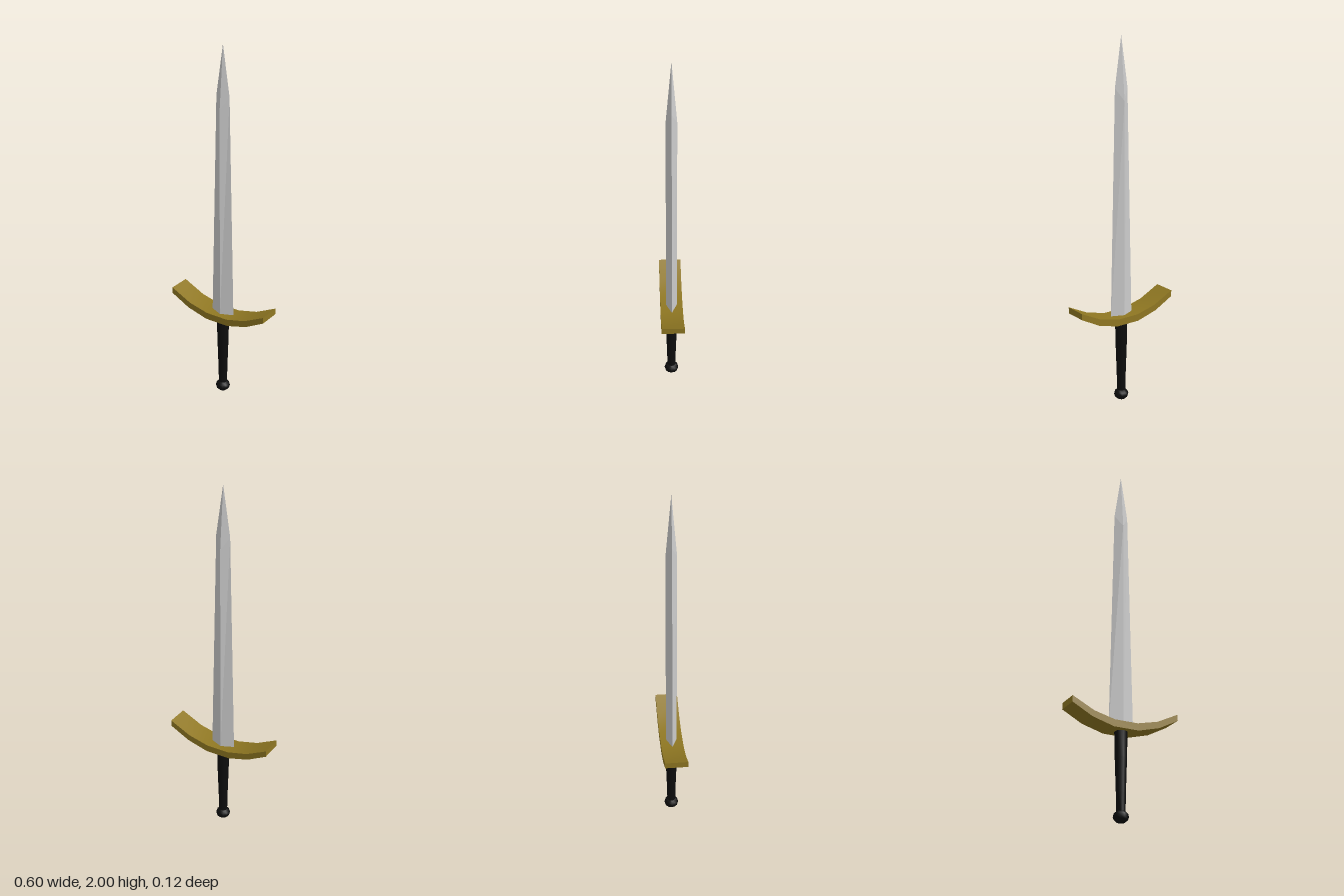
import * as THREE from 'three';
import { toCreasedNormals } from 'three/addons/utils/BufferGeometryUtils.js';

const steel = new THREE.MeshStandardMaterial({ color: 0xcccccc, flatShading: true });
const brass = new THREE.MeshStandardMaterial({ color: 0x8f7722 });
const leather = new THREE.MeshStandardMaterial({ color: 0x0d0d0d });

// Diamond-section blade; the ridges bend in slightly lower than the edges
function bladeGeometry() {
  const ring = (w, d, edgeY, ridgeY) => [[w, edgeY, 0], [0, ridgeY, d], [-w, edgeY, 0], [0, ridgeY, -d]];
  const base = ring(0.07, 0.03, 0.48, 0.48);
  const shoulder = ring(0.04, 0.029, 1.735, 1.67);
  const tip = [0, 2, 0];
  const pos = [];
  for (let i = 0; i < 4; i++) {
    const j = (i + 1) % 4;
    // corners run counter-clockwise seen from outside
    pos.push(...base[j], ...base[i], ...shoulder[i]);
    pos.push(...base[j], ...shoulder[i], ...shoulder[j]);
    pos.push(...shoulder[j], ...shoulder[i], ...tip);
    pos.push(...base[i], ...base[j], 0, 0.48, 0);
  }
  // The order above is for rings turning the other way, so swap two corners of each face
  for (let k = 0; k < pos.length; k += 9) {
    for (let c = 3; c < 6; c++) [pos[k + c], pos[k + c + 3]] = [pos[k + c + 3], pos[k + c]];
  }
  const g = new THREE.BufferGeometry();
  g.setAttribute('position', new THREE.Float32BufferAttribute(pos, 3));
  // Make every face point away from the blade's axis
  const p = g.attributes.position;
  const [a, b, c] = [new THREE.Vector3(), new THREE.Vector3(), new THREE.Vector3()];
  const inside = new THREE.Vector3(0, 1, 0);
  for (let k = 0; k < p.count; k += 3) {
    a.fromBufferAttribute(p, k);
    b.fromBufferAttribute(p, k + 1);
    c.fromBufferAttribute(p, k + 2);
    const n = b.clone().sub(a).cross(c.clone().sub(a));
    if (n.dot(a.clone().sub(inside)) < 0) {
      p.setXYZ(k + 1, c.x, c.y, c.z);
      p.setXYZ(k + 2, b.x, b.y, b.z);
    }
  }
  g.computeVertexNormals();
  return g;
}

// Upswept crossguard: a bent bar of even depth
function guardGeometry() {
  const top = [[0.065, 0.505], [0.18, 0.533], [0.3, 0.592]];
  const bottom = [[0.07, 0.467], [0.19, 0.5], [0.3, 0.558]];
  const mirror = (pts) => pts.map(([x, y]) => [-x, y]);
  const outline = [...bottom, ...[...top].reverse(), ...mirror(top), ...mirror(bottom).reverse()];
  const shape = new THREE.Shape(outline.map(([x, y]) => new THREE.Vector2(x, y)));
  const g = new THREE.ExtrudeGeometry(shape, { depth: 0.124, bevelEnabled: false });
  g.translate(0, 0, -0.062);
  return toCreasedNormals(g, 0.6);
}

// Turned part from radius/height pairs
function turned(profile, sides) {
  const g = new THREE.LatheGeometry(profile.map(([r, y]) => new THREE.Vector2(r, y)), sides);
  return toCreasedNormals(g, 0.85);
}

export function createModel() {
  const sword = new THREE.Group();
  sword.name = 'sword';
  const add = (name, geometry, material) => {
    const mesh = new THREE.Mesh(geometry, material);
    mesh.name = name;
    sword.add(mesh);
  };
  add('blade', bladeGeometry(), steel);
  add('crossguard', guardGeometry(), brass);
  add('grip', turned([[0, 0.04], [0.023, 0.04], [0.025, 0.15], [0.031, 0.33], [0.034, 0.48], [0, 0.48]], 12), leather);
  add('pommel', turned([[0, 0], [0.022, 0.003], [0.036, 0.016], [0.04, 0.03], [0.036, 0.045], [0.022, 0.058], [0, 0.06]], 12), leather);
  return sword;
}
